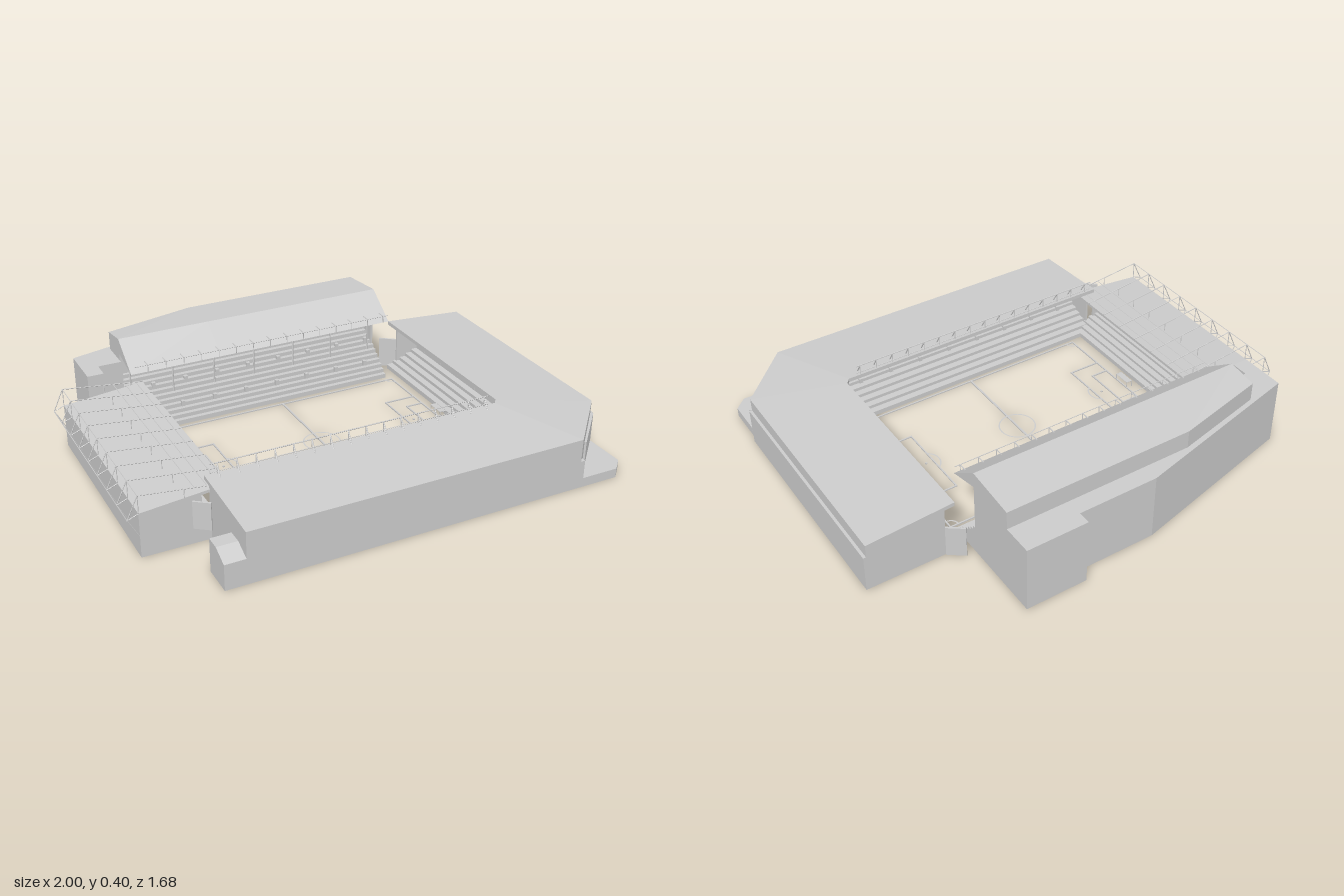
import * as THREE from 'three';

const grey = new THREE.MeshStandardMaterial({ color: 0xcccccc, flatShading: true });
const thin = new THREE.MeshStandardMaterial({ color: 0xcccccc, flatShading: true, side: THREE.DoubleSide });

export function createModel() {
  const model = new THREE.Group();
  const group = (name) => {
    const g = new THREE.Group();
    g.name = name;
    model.add(g);
    return g;
  };
  const add = (parent, name, geo, mat = grey) => {
    const m = new THREE.Mesh(geo, mat);
    m.name = name;
    parent.add(m);
    return m;
  };
  // box given by its minimum and maximum corners
  const box = (parent, name, x0, y0, z0, x1, y1, z1) => add(parent, name,
    new THREE.BoxGeometry(x1 - x0, y1 - y0, z1 - z0)).position.set((x0 + x1) / 2, (y0 + y1) / 2, (z0 + z1) / 2);
  // thin bar between two points
  const rod = (parent, name, a, b, r = 0.0018) => {
    const p = new THREE.Vector3(...a), d = new THREE.Vector3(...b).sub(p);
    const m = add(parent, name, new THREE.CylinderGeometry(r, r, d.length(), 5));
    m.position.copy(p).addScaledVector(d, 0.5);
    m.quaternion.setFromUnitVectors(new THREE.Vector3(0, 1, 0), d.normalize());
  };
  // vertical prism over a plan outline of [x, z] points
  const prism = (parent, name, plan, y0, y1) => {
    const shape = new THREE.Shape(plan.map(([x, z]) => new THREE.Vector2(x, -z)));
    const geo = new THREE.ExtrudeGeometry(shape, { depth: y1 - y0, bevelEnabled: false });
    geo.rotateX(-Math.PI / 2).translate(0, y0, 0);
    add(parent, name, geo);
  };
  // closed solid through cross-sections; flat = the section as [u, v] for its end caps
  const loft = (parent, name, sections, flat) => {
    const n = flat.length, index = [];
    for (let s = 0; s < sections.length - 1; s++) {
      for (let i = 0; i < n; i++) {
        const a = s * n + i, b = s * n + (i + 1) % n;
        index.push(a, b, b + n, a, b + n, a + n);
      }
    }
    const cap = THREE.ShapeUtils.triangulateShape(flat.map(([u, v]) => new THREE.Vector2(u, v)), []);
    const last = (sections.length - 1) * n;
    for (const [a, b, c] of cap) index.push(a, b, c, last + a, last + c, last + b);
    const geo = new THREE.BufferGeometry();
    geo.setAttribute('position', new THREE.Float32BufferAttribute(sections.flat(2), 3));
    geo.setIndex(index);
    geo.computeVertexNormals();
    add(parent, name, geo, thin);
  };
  // sweeps a [t, y] profile along stations [innerX, innerZ, outerX, outerZ]
  const sweep = (parent, name, stations, profile) => loft(parent, name,
    stations.map(([ix, iz, ox, oz]) => profile.map(([t, y]) => [ix + (ox - ix) * t, y, iz + (oz - iz) * t])), profile);
  // seating steps from the pitch edge up to the back
  const steps = (t1, y0, y1, rows = 11) => {
    const pts = [[0, 0]];
    for (let i = 0; i < rows; i++) {
      const y = y0 + (y1 - y0) * i / (rows - 1);
      pts.push([t1 * i / rows, y], [t1 * (i + 1) / rows, y]);
    }
    return pts;
  };

  // L-shaped stand wrapping the front and the left side
  const corner = group('cornerStand');
  const path = [[-0.68, 0.465, -0.68, 0.84], [0.59, 0.465, 0.75, 0.84], [0.61, 0.44, 0.985, 0.59], [0.61, -0.44, 0.985, -0.44]];
  sweep(corner, 'seatingAndRoof', path,
    [...steps(0.9, 0.02, 0.165), [0.9, 0.203], [0, 0.225], [0, 0.242], [1, 0.218], [1, 0]]);
  const endWall = [[0.12, 0], [1, 0], [1, 0.215], [0.12, 0.232]];
  sweep(corner, 'endWall', [[-0.68, 0.465, -0.68, 0.84], [-0.67, 0.465, -0.67, 0.84]], endWall);
  sweep(corner, 'endWall', [[0.61, -0.44, 0.985, -0.44], [0.61, -0.43, 0.985, -0.43]], endWall);
  prism(corner, 'cornerPlinth', [[0.75, 0.84], [0.935, 0.84], [0.985, 0.79], [0.985, 0.59]], 0, 0.04);
  prism(corner, 'cornerPier', [[0.74, 0.84], [0.77, 0.84], [0.77, 0.82]], 0.04, 0.12);
  prism(corner, 'cornerPanel', [[0.81, 0.7775], [0.816, 0.783], [0.995, 0.597], [0.985, 0.59]], 0.04, 0.162);
  box(corner, 'sideLedge', 0.98, 0, -0.44, 0.997, 0.162, 0.59);
  sweep(corner, 'endAnnex', [[-0.765, 0.71, -0.765, 0.84], [-0.68, 0.71, -0.68, 0.84]],
    [[0, 0], [0, 0.14], [0.46, 0.14], [1, 0.108], [1, 0]]);

  // floodlight brackets and rail on the front roof edge
  rod(corner, 'lightRail', [-0.66, 0.285, 0.47], [0.55, 0.285, 0.47], 0.0025);
  rod(corner, 'lightRail', [-0.66, 0.25, 0.472], [0.55, 0.25, 0.472]);
  for (let i = 0; i < 16; i++) {
    const x = -0.63 + i * 0.0775;
    rod(corner, 'lightBracket', [x, 0.238, 0.5], [x, 0.285, 0.47], 0.0025);
    rod(corner, 'lightPost', [x, 0.238, 0.472], [x, 0.285, 0.47]);
  }

  // back stand: main building, terrace and roof
  const back = group('backStand');
  prism(back, 'building', [[-0.845, -0.4], [-0.845, -0.6], [-0.06, -0.79], [0.29, -0.79], [0.29, -0.845],
    [0.555, -0.845], [0.555, -0.57], [-0.675, -0.57], [-0.675, -0.475], [-0.775, -0.475], [-0.775, -0.4]], 0, 0.295);
  box(back, 'lowAnnex', -0.775, 0, -0.475, -0.675, 0.11, -0.4);
  sweep(back, 'seating', [[-0.675, -0.355, -0.675, -0.575], [0.555, -0.355, 0.555, -0.575]],
    [...steps(1, 0.02, 0.19), [1, 0]]);
  for (const x of [-0.675, 0.545]) box(back, 'endWall', x, 0, -0.58, x + 0.01, 0.33, -0.49);
  const roofSection = (zb) => [[-0.345, 0.29], [-0.49, 0.395], [zb, 0.375], [zb, 0.29], [-0.57, 0.29], [-0.57, 0.325], [-0.48, 0.325]];
  loft(back, 'roof', [[-0.675, -0.62], [-0.27, -0.715], [0.555, -0.715]].map(
    ([x, zb]) => roofSection(zb).map(([z, y]) => [x, y, z])), roofSection(-0.715));
  for (let i = 0; i < 7; i++) {
    const x = -0.64 + i * 0.193;
    rod(back, 'roofPost', [x, 0.1, -0.475], [x, 0.33, -0.475], 0.004);
  }
  rod(back, 'lightRail', [-0.66, 0.32, -0.346], [0.55, 0.32, -0.346]);
  for (let i = 0; i < 15; i++) {
    const x = -0.6 + i * 0.0805;
    rod(back, 'lightBracket', [x, 0.32, -0.385], [x, 0.32, -0.345], 0.0025);
    rod(back, 'lightPost', [x, 0.32, -0.346], [x, 0.29, -0.346]);
  }

  // right stand with exposed roof trusses
  const side = group('sideStand');
  sweep(side, 'seatingAndRoof', [[-0.61, -0.4, -0.955, -0.4], [-0.61, 0.52, -0.955, 0.52]],
    [...steps(0.9, 0.02, 0.14), [0.9, 0.178], [0, 0.208], [0, 0.22], [1, 0.187], [1, 0]]);
  for (const z of [-0.4, 0.51]) {
    sweep(side, 'endWall', [[-0.61, z, -0.955, z], [-0.61, z + 0.01, -0.955, z + 0.01]],
      [[0.3, 0], [1, 0], [1, 0.183], [0.3, 0.205]]);
  }
  const truss = [[-0.61, 0.222], [-0.955, 0.262], [-0.998, 0.17], [-0.955, 0.09]];
  for (let i = 0; i < 9; i++) {
    const z = -0.4 + i * 0.115;
    for (let k = 0; k < 3; k++) rod(side, 'truss', [...truss[k], z], [...truss[k + 1], z], 0.002);
    rod(side, 'truss', [-0.955, 0.187, z], [-0.955, 0.262, z]);
    rod(side, 'truss', [-0.998, 0.17, z], [-0.955, 0.187, z]);
    rod(side, 'truss', [-0.78, 0.204, z], [-0.78, 0.242, z]);
  }
  for (const [x, y] of [[-0.955, 0.262], [-0.998, 0.17], [-0.74, 0.237], [-0.69, 0.231], [-0.64, 0.225]]) {
    rod(side, 'purlin', [x, y, -0.4], [x, y, 0.52], 0.0016);
  }

  // stair heads dotted over the seating
  const stairs = group('stairHeads');
  const head = (x, y, z) => box(stairs, 'stairHead', x - 0.008, y - 0.01, z - 0.008, x + 0.008, y + 0.014, z + 0.008);
  for (let i = 0; i < 8; i++) {
    const x = -0.58 + i * 0.15;
    head(x, 0.07, -0.41);
    head(x + 0.05, 0.14, -0.5);
    head(x, 0.085, 0.62);
    if (i < 6) {
      head(0.77, 0.085, -0.36 + i * 0.14);
      head(-0.75, 0.08, -0.3 + i * 0.14);
    }
  }

  // screens standing in the open corners
  const screen = (x, z, y0, y1, w, turn) => {
    const m = add(model, 'cornerScreen', new THREE.BoxGeometry(w, y1 - y0, 0.008));
    m.position.set(x, (y0 + y1) / 2, z);
    m.rotation.y = turn;
  };
  screen(0.625, -0.465, 0, 0.14, 0.08, -0.64);
  screen(-0.732, 0.567, 0.085, 0.2, 0.07, -0.64);

  // pitch markings
  const pitch = group('pitchMarkings');
  const line = (x0, z0, x1, z1, w = 0.003) => box(pitch, 'line', Math.min(x0, x1) - w, 0, Math.min(z0, z1) - w,
    Math.max(x0, x1) + w, 0.005, Math.max(z0, z1) + w);
  const arc = (x, z, r, start, length) => {
    const m = add(pitch, 'arc', new THREE.RingGeometry(r - 0.003, r + 0.003, 32, 1, start, length), thin);
    m.rotation.x = -Math.PI / 2;
    m.position.set(x, 0.005, z);
  };
  const mx = 0.01, mz = 0.06, hx = 0.56, hz = 0.385;
  for (const s of [-1, 1]) {
    const gx = mx + s * hx, turn = s < 0 ? 0 : Math.PI;
    line(mx - hx, mz + s * hz, mx + hx, mz + s * hz);
    line(gx, mz - hz, gx, mz + hz);
    // penalty area and goal area
    for (const [d, w] of [[0.143, 0.188], [0.077, 0.115]]) {
      line(gx - s * d, mz - w, gx - s * d, mz + w);
      for (const e of [-1, 1]) line(gx, mz + e * w, gx - s * d, mz + e * w);
    }
    arc(gx - s * 0.11, mz, 0.06, turn - 0.98, 1.96);
    line(gx - s * 0.11, mz, gx - s * 0.11, mz, 0.004);
    arc(gx, mz - hz, 0.035, s < 0 ? -Math.PI / 2 : Math.PI, Math.PI / 2);
    arc(gx, mz + hz, 0.035, s < 0 ? 0 : Math.PI / 2, Math.PI / 2);
    // goal
    const bx = gx + s * 0.028, y = 0.03;
    for (const e of [-1, 1]) {
      const z = mz + e * 0.038;
      rod(pitch, 'goalPost', [gx, 0, z], [gx, y, z]);
      rod(pitch, 'goalSide', [gx, y, z], [bx, y, z]);
      rod(pitch, 'goalStay', [bx, 0, z], [bx, y, z]);
    }
    rod(pitch, 'crossbar', [gx, y, mz - 0.038], [gx, y, mz + 0.038]);
    box(pitch, 'goalNet', Math.min(gx, bx), y - 0.002, mz - 0.038, Math.max(gx, bx), y, mz + 0.038);
  }
  line(mx, mz - hz, mx, mz + hz, 0.004);
  arc(mx, mz, 0.078, 0, Math.PI * 2);

  return model;
}
